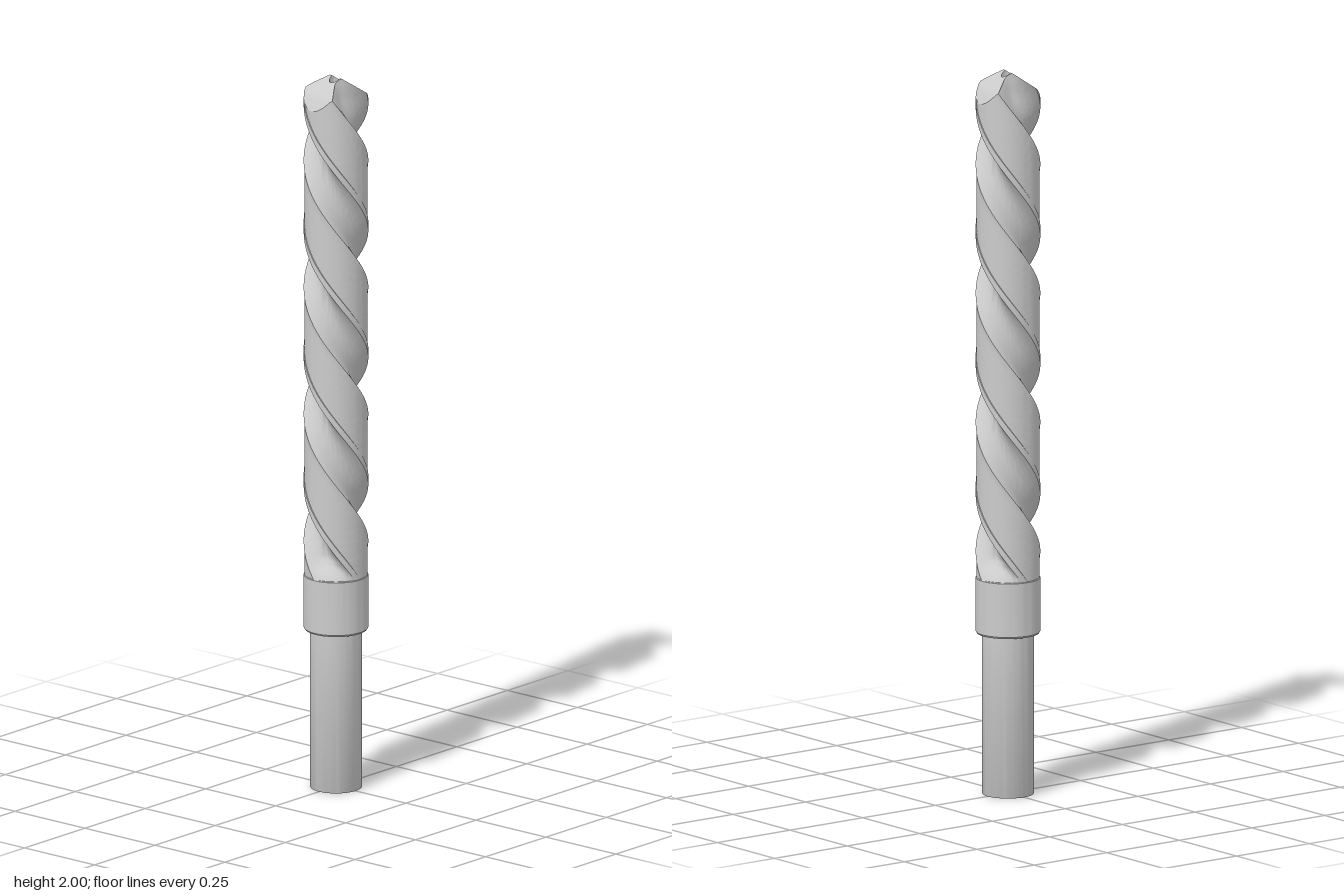
import * as THREE from 'three';
import { toCreasedNormals } from 'three/addons/utils/BufferGeometryUtils.js';

const R = 0.0875, LAND = 0.0855, HOLE = 0.018, PITCH = 0.715;
const BASE = 0.6, TOP = 1.955;
const rad = THREE.MathUtils.degToRad;
const { lerp, smoothstep } = THREE.MathUtils;

// Point at an angle (degrees, counter-clockwise seen from above)
const polar = (r, deg, y) => [r * Math.cos(rad(deg)), y, -r * Math.sin(rad(deg))];

// Grid surface, facing along u x v
function gridGeometry(nu, nv, point) {
  const pos = [], idx = [];
  for (let j = 0; j <= nv; j++) {
    for (let i = 0; i <= nu; i++) pos.push(...point(i, j));
  }
  for (let j = 0; j < nv; j++) {
    for (let i = 0; i < nu; i++) {
      const a = j * (nu + 1) + i, b = a + 1, c = a + nu + 1, d = c + 1;
      idx.push(a, b, d, a, d, c);
    }
  }
  const g = new THREE.BufferGeometry();
  g.setAttribute('position', new THREE.Float32BufferAttribute(pos, 3));
  g.setIndex(idx);
  return toCreasedNormals(g, 0.5);
}

// Section points: angle, flute opening (0 in the middle, 1 at rims and lands),
// rim radius, and how far the flute wall hollows out behind its rim
function makeSection() {
  const half = [];
  for (let k = -12; k <= 12; k++) {
    const w = k / 12;
    const hollow = Math.sign(w) * 14 * Math.sin(Math.PI * Math.abs(w));
    half.push([40 * w - 15, Math.abs(w) ** 2.2, R, hollow]);
  }
  for (const a of [29, 33, 37]) half.push([a, 1, R, 0]);
  for (let a = 38; a < 124; a += 8) half.push([a, 1, LAND, 0]);
  return [...half, ...half.map(([a, ...rest]) => [a + 180, ...rest])];
}

// Roof-shaped point: two main facets, then steeper relief beyond them
function roof(x, z) {
  const s = Math.abs(0.97 * z - 0.23 * x);
  return s < 0.06 ? 2 - 0.75 * s : TOP - 1.5 * (s - 0.06);
}

// Body surface point: the web thins at the tip and the flutes run out at the collar
function bodyPoint([a, open, rim, hollow], y) {
  const tip = smoothstep(y, TOP - 0.1, TOP);
  const web = lerp(0.044, 0.022, tip);
  const floor = lerp(R - 0.004, web, smoothstep(y, BASE - 0.01, BASE + 0.06));
  const angle = a + hollow * lerp(0.3, 1, tip) - 360 * (y - TOP) / PITCH;
  return polar(lerp(floor, rim, open), angle, y);
}

// Point where a section line meets the roof
function rimPoint(s) {
  let p = bodyPoint(s, TOP);
  for (let k = 0; k < 12; k++) p = bodyPoint(s, (p[1] + roof(p[0], p[2])) / 2);
  return p;
}

export function createModel() {
  const group = new THREE.Group();
  const material = new THREE.MeshStandardMaterial({ color: 0xcccccc });
  const add = (name, geometry) => {
    const mesh = new THREE.Mesh(geometry, material);
    mesh.name = name;
    group.add(mesh);
  };
  const lathe = (points) => toCreasedNormals(
    new THREE.LatheGeometry(points.map(([x, y]) => new THREE.Vector2(x, y)), 64), 0.5);

  // Plain shank and wider collar with small chamfers
  add('shank', lathe([[0, 0], [0.07, 0], [0.071, 0.002], [0.071, 0.452]]));
  add('collar', lathe([[0.07, 0.445], [0.084, 0.445], [R, 0.45], [R, BASE - 0.002],
    [R - 0.002, BASE], [0, BASE]]));

  // Twisted body with two flutes
  const section = makeSection();
  const rims = section.map(rimPoint);
  const n = section.length, rings = 170;
  add('flutedBody', gridGeometry(n, rings, (i, j) =>
    bodyPoint(section[i % n], lerp(BASE, rims[i % n][1], j / rings))));

  // Faceted point, closing in on a small blind hole
  const steps = 10;
  add('drillPoint', gridGeometry(n, steps + 2, (i, j) => {
    const [x, y, z] = rims[i % n];
    if (j === 0) return [x, y, z];
    if (j > steps + 1) return [0, TOP, 0];
    const k = lerp(1, HOLE / Math.hypot(x, z), Math.min(j / steps, 1));
    return [x * k, j > steps ? TOP : roof(x * k, z * k), z * k];
  }));

  return group;
}
